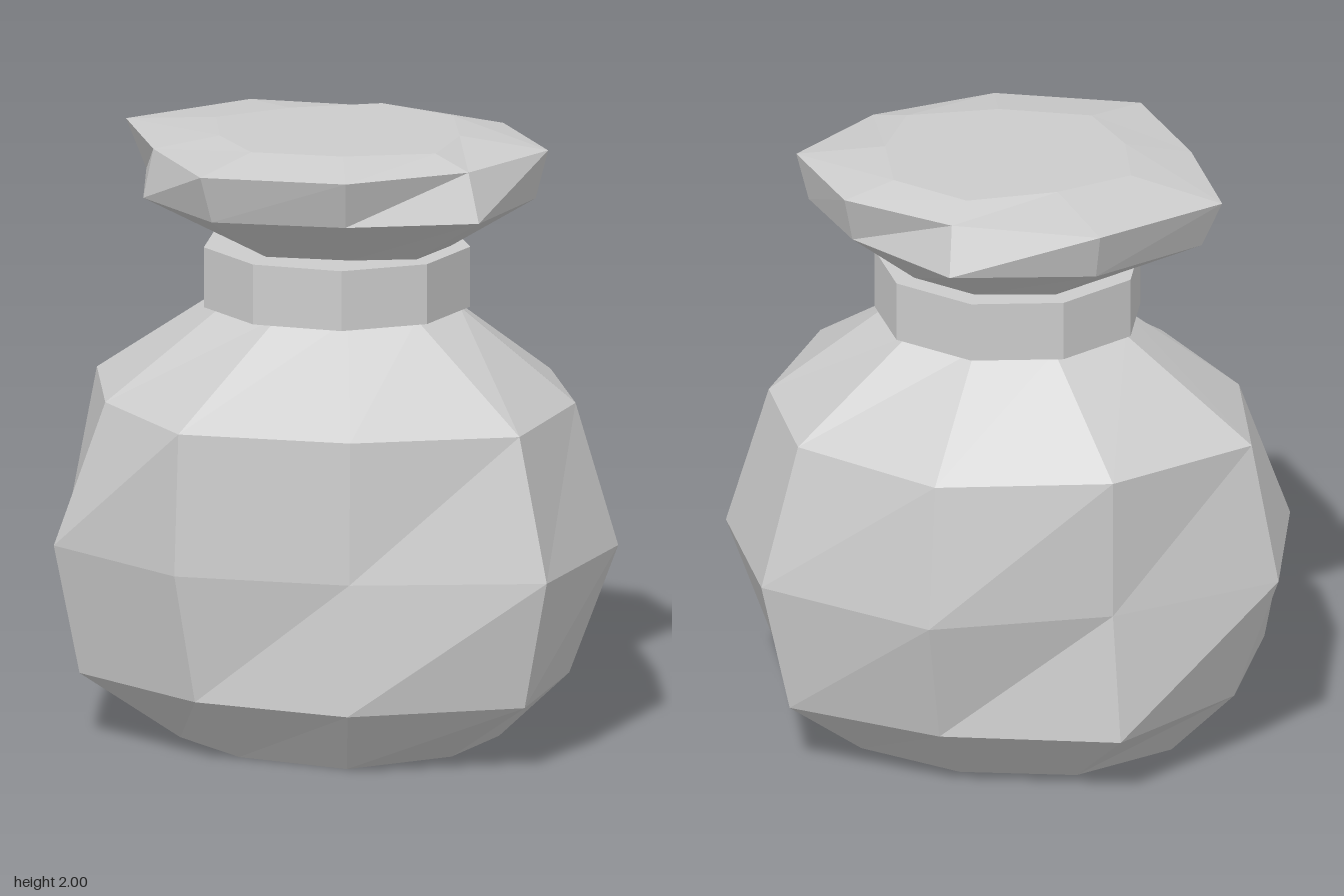
import * as THREE from 'three';

const SIDES = 9;

// Joins horizontal rings of [x, z] points (listed from bottom to top) into a faceted skin.
function loft(rings, capBottom, capTop) {
  const position = [], index = [];
  for (const { y, points } of rings) {
    for (const [x, z] of points) position.push(x, y, z);
  }
  for (let r = 0; r < rings.length - 1; r++) {
    for (let k = 0; k < SIDES; k++) {
      const n = (k + 1) % SIDES;
      const low = r * SIDES, high = low + SIDES;
      index.push(low + k, high + k, low + n, high + k, high + n, low + n);
    }
  }
  const top = (rings.length - 1) * SIDES;
  for (let k = 1; k < SIDES - 1; k++) {
    if (capBottom) index.push(0, k, k + 1);
    if (capTop) index.push(top, top + k + 1, top + k);
  }
  const indexed = new THREE.BufferGeometry();
  indexed.setAttribute('position', new THREE.Float32BufferAttribute(position, 3));
  indexed.setIndex(index);
  const geometry = indexed.toNonIndexed();
  geometry.computeVertexNormals();
  return geometry;
}

// Hand-cut, slightly uneven belly, from the foot to the shoulder
const bodyRings = [
  { y: 0, points: [[.53, .045], [.42, .35], [.11, .57], [-.26, .46], [-.49, .22], [-.56, -.16], [-.28, -.4], [.1, -.42], [.44, -.27]] },
  { y: .22, points: [[.76, .045], [.69, .55], [.14, .76], [-.38, .63], [-.81, .29], [-.77, -.2], [-.45, -.62], [.14, -.64], [.65, -.47]] },
  { y: .65, points: [[.92, .04], [.77, .6], [.14, .72], [-.44, .68], [-.89, .32], [-.92, -.24], [-.42, -.58], [.16, -.76], [.74, -.49]] },
  { y: 1.12, points: [[.78, .04], [.67, .53], [.14, .7], [-.43, .66], [-.73, .26], [-.83, -.22], [-.42, -.58], [.15, -.68], [.63, -.41]] },
  { y: 1.43, points: [[.4, .045], [.29, .25], [.07, .29], [-.16, .28], [-.36, .14], [-.4, -.08], [-.19, -.25], [.07, -.27], [.3, -.18]] },
];

// Flared rim with a flat, closed top
const rimRings = [
  { y: 1.63, points: [[.37, .045], [.29, .24], [.08, .29], [-.2, .28], [-.29, .15], [-.3, -.07], [-.19, -.24], [.07, -.27], [.28, -.16]] },
  { y: 1.8, points: [[.65, .045], [.52, .42], [.1, .54], [-.34, .53], [-.61, .23], [-.66, -.17], [-.35, -.46], [.12, -.53], [.47, -.26]] },
  { y: 1.96, points: [[.69, .04], [.48, .38], [.11, .6], [-.37, .58], [-.58, .21], [-.73, -.19], [-.37, -.51], [.12, -.47], [.49, -.31]] },
  { y: 2, points: [[.4, .045], [.36, .3], [.07, .385], [-.235, .37], [-.37, .16], [-.42, -.09], [-.2, -.25], [.085, -.355], [.34, -.22]] },
];

export function createModel() {
  const model = new THREE.Group();
  model.name = 'pot';

  const clay = new THREE.MeshStandardMaterial({ color: 0xcccccc, flatShading: true });
  clay.name = 'light grey clay';

  const add = (name, geometry) => {
    const mesh = new THREE.Mesh(geometry, clay);
    mesh.name = name;
    model.add(mesh);
    return mesh;
  };

  add('body', loft(bodyRings, true, false));
  add('rim', loft(rimRings, false, true));

  // Regular band around the neck, with one corner pointing to +x
  const band = add('neckBand', new THREE.CylinderGeometry(1, 1, .2, SIDES, 1, false, Math.PI / 2));
  band.scale.set(.44, 1, .4);
  band.position.set(-.005, 1.53, .045);

  return model;
}
